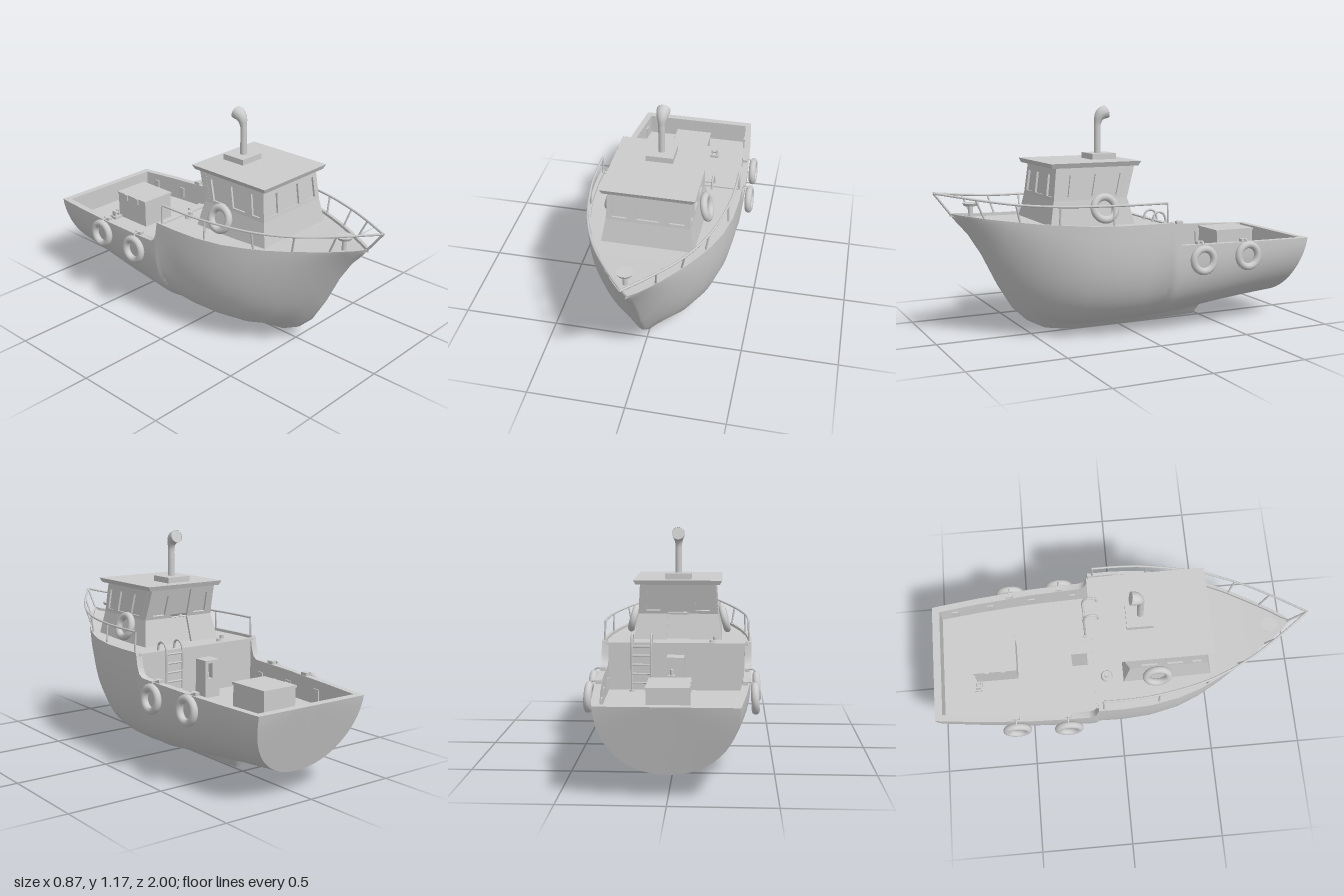
import * as THREE from 'three';
import { toCreasedNormals } from 'three/addons/utils/BufferGeometryUtils.js';

const grey = new THREE.MeshStandardMaterial({ color: 0xcccccc });
const greyThin = new THREE.MeshStandardMaterial({ color: 0xcccccc, side: THREE.DoubleSide });
const V = (x, y, z) => new THREE.Vector3(x, y, z);

// Hull stations: z, sheer height, half width, bottom height, keel drop, fullness
const stations = [
  [-1, .455, .325, .12, 0, 2.1], [-.96, .456, .331, .118, 0, 2.1], [-.75, .462, .355, .11, 0, 2.2],
  [-.54, .468, .373, .098, 0, 2.35], [-.5, .47, .376, .095, .01, 2.4], [-.46, .472, .379, .09, .075, 2.4],
  [-.3, .476, .385, .075, .063, 2.5], [-.18, .48, .388, .065, .055, 2.6], [-.155, .495, .389, .064, .054, 2.65],
  [-.14, .53, .39, .063, .054, 2.7], [-.127, .6, .39, .062, .053, 2.7], [0, .6, .392, .055, .048, 2.7],
  [.15, .6, .383, .052, .045, 2.6], [.3, .603, .355, .055, .045, 2.4], [.42, .61, .315, .075, .045, 2.1],
  [.52, .615, .268, .12, .04, 1.8], [.6, .622, .226, .19, .035, 1.55], [.68, .63, .178, .3, .015, 1.4],
  [.76, .638, .128, .445, 0, 1.25], [.83, .648, .08, .555, 0, 1.15], [.88, .655, .042, .61, 0, 1.1], [.92, .662, 0, .66, 0, 1],
];
const AFT_DECK = .34;

// Sheer height and half width at any z
function sheer(z) {
  let i = 0;
  while (i < stations.length - 2 && stations[i + 1][0] < z) i++;
  const [a, b] = [stations[i], stations[i + 1]];
  const t = (z - a[0]) / (b[0] - a[0]);
  return { y: a[1] + (b[1] - a[1]) * t, w: a[2] + (b[2] - a[2]) * t };
}

// Half cross-section from keel up to the sheer, over the rim and along the deck
const STEPS = 26;
function section([z, ys, w, yb, drop, n], mode) {
  const pts = [];
  const rake = .1 * Math.pow(Math.max(0, (-z - .5) / .5), 1.5);
  for (let j = 0; j <= STEPS; j++) {
    const a = Math.PI / 2 * Math.pow(j / STEPS, 1.4);
    const x = j === STEPS ? w : w * Math.pow(Math.sin(a), 2 / n);
    const rise = j === STEPS ? 1 : 1 - Math.pow(Math.cos(a), 2 / n);
    const y = yb + (ys - yb) * rise - drop * Math.exp(-((x / .045) ** 2));
    pts.push([x, y, z + rake * Math.pow(1 - rise, 1.2)]);
  }
  const inner = Math.max(w - (mode === 'fore' ? .018 : .035), 0);
  const deck = mode === 'fore' ? ys - .015 : mode === 'aft' ? AFT_DECK : ys;
  pts.push([inner, ys, z], [inner, deck, z], [0, deck, z]);
  return pts;
}

function hullGeometry() {
  const rows = [];
  stations.forEach((s, i) => {
    if (i < 2) rows.push(section(s, 'cap'));
    if (i > 0 && s[0] <= -.127) rows.push(section(s, 'aft'));
    if (s[0] >= -.127) rows.push(section(s, 'fore'));
  });
  const m = rows[0].length, pos = [], index = [];
  for (const side of [1, -1]) {
    const base = pos.length / 3;
    const tri = (a, b, c) => side > 0 ? index.push(a, b, c) : index.push(a, c, b);
    rows.forEach(r => r.forEach(p => pos.push(side * p[0], p[1], p[2])));
    for (let i = 0; i < rows.length - 1; i++) for (let j = 0; j < m - 1; j++) {
      const a = base + i * m + j;
      tri(a, a + 1, a + m);
      tri(a + 1, a + m + 1, a + m);
    }
    for (let j = 0; j < STEPS; j++) tri(base + m - 1, base + j + 1, base + j); // transom
  }
  const g = new THREE.BufferGeometry();
  g.setAttribute('position', new THREE.Float32BufferAttribute(pos, 3));
  g.setIndex(index);
  return toCreasedNormals(g, .7);
}

// Four-cornered wall panel with rectangular openings [u0, u1, v0, v1], set back by inset
function panelGeometry([bl, br, tr, tl], holes, depth, inset = 0) {
  const rect = (C, u0, u1, v0, v1) => new C([[u0, v0], [u1, v0], [u1, v1], [u0, v1]].map(p => new THREE.Vector2(...p)));
  const shape = rect(THREE.Shape, 0, 1, 0, 1);
  shape.holes = holes.map(h => rect(THREE.Path, ...h));
  const g = new THREE.ExtrudeGeometry(shape, { depth, bevelEnabled: false });
  const n = br.clone().sub(bl).cross(tl.clone().sub(bl)).normalize();
  const p = g.attributes.position;
  for (let i = 0; i < p.count; i++) {
    const u = p.getX(i), v = p.getY(i), off = p.getZ(i) - depth - inset;
    const q = bl.clone().lerp(br, u).lerp(tl.clone().lerp(tr, u), v).addScaledVector(n, off);
    p.setXYZ(i, q.x, q.y, q.z);
  }
  g.computeVertexNormals();
  return g;
}

export function createModel() {
  const model = new THREE.Group();
  const add = (name, geo, x = 0, y = 0, z = 0, mat = grey) => {
    const mesh = new THREE.Mesh(geo, mat);
    mesh.name = name;
    mesh.position.set(x, y, z);
    model.add(mesh);
    return mesh;
  };
  const box = (name, x0, x1, y0, y1, z0, z1) =>
    add(name, new THREE.BoxGeometry(x1 - x0, y1 - y0, z1 - z0), (x0 + x1) / 2, (y0 + y1) / 2, (z0 + z1) / 2);
  const cyl = (name, r0, r1, h, x, y, z) => add(name, new THREE.CylinderGeometry(r1, r0, h, 24), x, y + h / 2, z);
  const rod = (name, a, b, r) => add(name, new THREE.TubeGeometry(new THREE.LineCurve3(a, b), 1, r, 8), 0, 0, 0, greyThin);
  const pipe = (name, pts, r, segs = 32) =>
    add(name, new THREE.TubeGeometry(new THREE.CatmullRomCurve3(pts), segs, r, 8), 0, 0, 0, greyThin);

  add('hull', hullGeometry(), 0, 0, 0, greyThin);
  const lip = sheer(-.12).w - .02;
  box('bulkheadLip', -lip, lip, .58, .592, -.135, -.11);

  // Cabin: flared lower band and windowed upper band
  const ring = (y, hx, zf, zb) => [V(-hx, y, zf), V(hx, y, zf), V(hx, y, zb), V(-hx, y, zb)];
  const levels = [ring(.58, .237, .478, .015), ring(.72, .213, .45, .05), ring(.89, .2, .43, 0)];
  const sideHoles = [[.07, .19, .1, .73], [.31, .51, .1, .73], [.63, .84, .1, .73]];
  const upperHoles = [
    [[.07, .25, .1, .73], [.365, .635, .1, .73], [.75, .93, .1, .73]],
    sideHoles,
    [[.1, .28, .1, .73], [.37, .63, .001, .88], [.72, .9, .1, .73]],
    sideHoles.map(([a, b, c, d]) => [1 - b, 1 - a, c, d]),
  ];
  for (let l = 0; l < 2; l++) for (let k = 0; k < 4; k++) {
    const n = (k + 1) % 4, back = k === 2;
    const corners = [levels[l][k], levels[l][n], levels[l + 1][n], levels[l + 1][k]];
    const holes = l ? upperHoles[k] : back ? [[.37, .63, .001, .999]] : [];
    add(l ? 'cabinUpperWall' : 'cabinLowerWall', panelGeometry(corners, holes, .012));
    if (l || back) add(back ? 'doorRecess' : 'windowPanes', panelGeometry(corners, [], .002, back ? .035 : .011));
  }
  add('doorHandle', new THREE.SphereGeometry(.008, 12, 8), -.035, .72, .08);
  const roof = new THREE.BoxGeometry(.47, .024, .49);
  const rp = roof.attributes.position;
  for (let i = 0; i < rp.count; i++) if (rp.getY(i) < 0) rp.setXYZ(i, rp.getX(i) * .95, rp.getY(i), rp.getZ(i) * .96);
  roof.computeVertexNormals();
  add('roof', roof, 0, .893, .225);

  // Exhaust stack with a bent, flaring mouth
  box('stackBase', -.07, .07, .904, .935, .045, .178);
  const stackCurve = new THREE.CatmullRomCurve3([V(0, .93, .118), V(0, 1.02, .118), V(0, 1.085, .117), V(0, 1.12, .108), V(0, 1.14, .09), V(0, 1.148, .066)]);
  const stack = new THREE.TubeGeometry(stackCurve, 40, .017, 20);
  const sp = stack.attributes.position;
  for (let i = 0; i < sp.count; i++) {
    const t = Math.floor(i / 21) / 40, c = stackCurve.getPointAt(t);
    const k = 1 + 1.0 * THREE.MathUtils.smoothstep(t, .6, .95);
    const q = V(sp.getX(i), sp.getY(i), sp.getZ(i)).sub(c).multiplyScalar(k).add(c);
    sp.setXYZ(i, q.x, q.y, q.z);
  }
  stack.computeVertexNormals();
  add('exhaustStack', stack, 0, 0, 0, greyThin);
  const mouth = add('stackMouth', new THREE.CircleGeometry(.033, 20), 0, 1.148, .068, greyThin);
  mouth.rotation.set(.3, Math.PI, 0);

  // Bow railing, mirrored, meeting at a point ahead of the stem
  const railAt = [[.372, .7, -.1], [.372, .7, .03], [.36, .7, .19], [.305, .703, .45], [.223, .715, .65], [.122, .737, .82], [0, .765, .995]];
  for (const s of [1, -1]) {
    pipe('bowRail', railAt.map(([x, y, z]) => V(s * x, y, z)), .006, 48);
    [[0, -.1], [2, .19], [3, .45], [4, .62], [5, .77]].forEach(([i, z]) => {
      const e = sheer(z), [x, y, rz] = railAt[i];
      rod('railPost', V(s * (e.w - .012), e.y - .01, z), V(s * x, y, rz), .005);
    });
  }
  rod('stemPost', V(0, .655, .91), V(0, .765, .995), .006);

  // Bow bollard and a low deck fitting
  cyl('bollardStem', .012, .012, .06, -.03, .63, .8);
  cyl('bollardCap', .034, .041, .014, -.03, .69, .8);
  cyl('deckFitting', .032, .026, .014, -.2, .585, -.07);
  cyl('deckFittingKnob', .012, .012, .02, -.2, .598, -.07);

  // Lifebuoys on the cabin, tyre fenders with cleats and ropes on the hull
  const ringAt = (name, x, y, z, tilt) => {
    const r = add(name, new THREE.TorusGeometry(.058, .019, 14, 36), x, y, z);
    r.rotation.order = 'ZYX';
    r.rotation.set(0, Math.PI / 2, tilt);
  };
  for (const s of [1, -1]) {
    ringAt('lifebuoy', s * .25, .675, .19, s * .26);
    for (const z of [-.292, -.568]) {
      const { y, w } = sheer(z);
      ringAt('fender', s * (w + .028), .4, z, s * .05);
      box('fenderCleat', s * (w - .02) - .012, s * (w - .02) + .012, y, y + .016, z - .02, z + .02);
      pipe('fenderRope', [V(s * (w - .02), y + .012, z), V(s * (w + .012), y + .01, z), V(s * (w + .028), .45, z)], .005, 12);
    }
    // Plates on the inside of the bulwark
    for (const z of [-.22, -.45, -.68, -.88]) {
      const x = s * (sheer(z).w - .037);
      box('bulwarkPlate', x - .005, x + .005, .36, .42, z - .018, z + .018);
    }
    // Small winch beside the hatch
    const wx = .008 + s * .13;
    box('winchBase', wx - .025, wx + .025, AFT_DECK, .355, -.795, -.75);
    for (const d of [-.014, .014]) box('winchCheek', wx + d - .004, wx + d + .004, .355, .385, -.785, -.76);
    cyl('winchDrum', .01, .01, .034, wx, .372 - .017, -.772).rotation.z = Math.PI / 2;
  }

  // Ladder with grab hoops up to the fore deck
  for (const x of [.13, .23]) {
    pipe('ladderRail', [V(x, .34, -.165), V(x, .47, -.165), V(x, .59, -.165), V(x, .625, -.152), V(x, .636, -.126), V(x, .625, -.1), V(x, .585, -.088)], .006, 36);
    cyl('ladderFoot', .013, .013, .008, x, AFT_DECK, -.165);
  }
  for (let i = 0; i < 5; i++) rod('ladderRung', V(.13, .385 + i * .048, -.165), V(.23, .385 + i * .048, -.165), .005);

  // Control locker with an open niche, and the cargo hatch
  box('lockerBack', -.045, .045, AFT_DECK, .535, -.215, -.165);
  box('lockerLower', -.045, .045, AFT_DECK, .44, -.25, -.215);
  box('lockerTop', -.045, .045, .52, .535, -.25, -.215);
  box('lockerSide', -.045, 0, .44, .52, -.25, -.215);
  box('lockerEdge', .037, .045, .44, .52, -.25, -.215);
  cyl('lockerKnob', .009, .009, .03, .018, .44, -.23);
  box('hatch', -.09, .107, AFT_DECK, .488, -.78, -.552);
  box('hatchLid', -.094, .111, .482, .494, -.784, -.548);
  for (const z of [-.62, -.71]) box('hatchHinge', -.1, -.088, .46, .494, z - .012, z + .012);

  return model;
}
